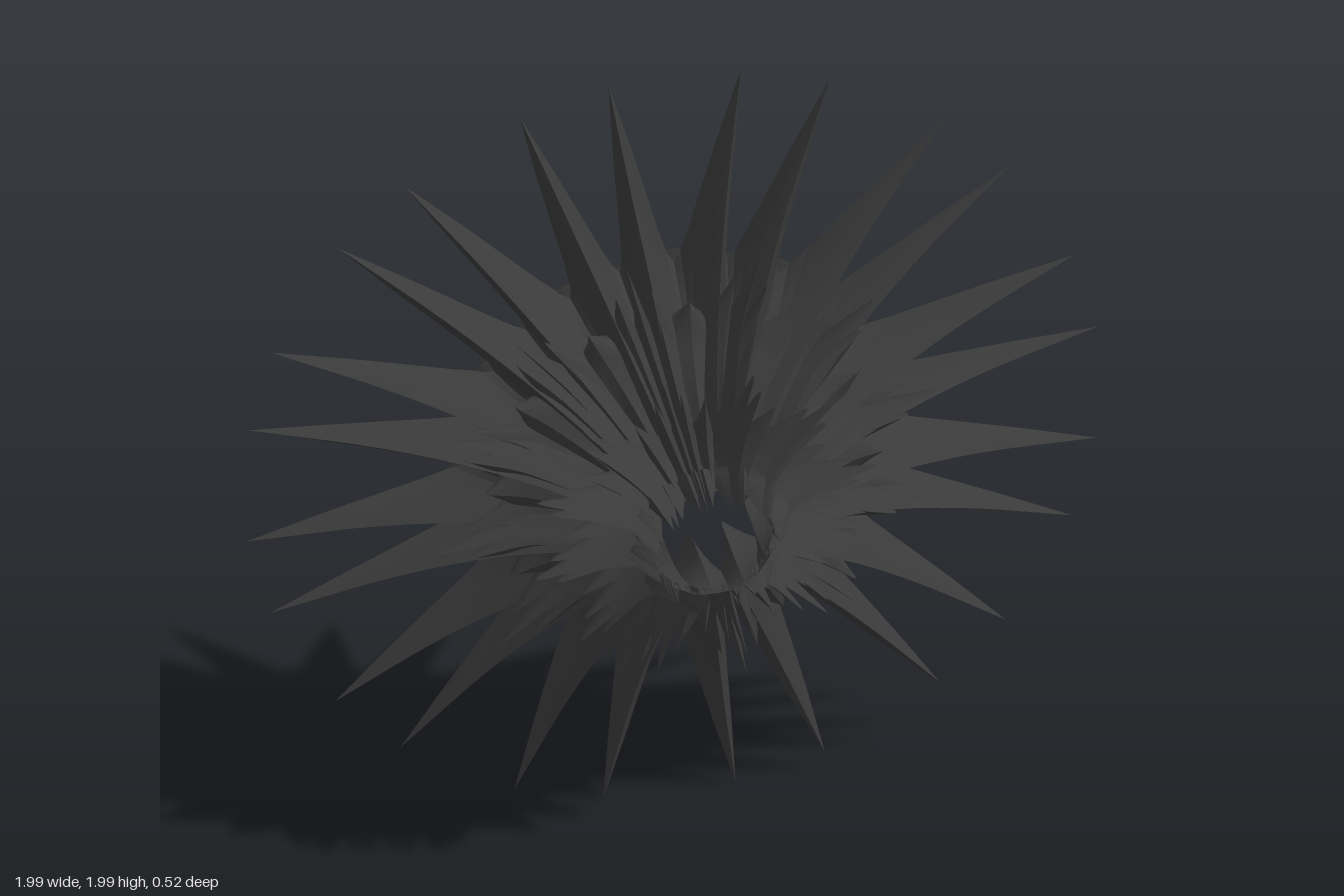
import * as THREE from 'three';

const RAD = Math.PI / 180;
const SECTOR = 30; // the shape repeats twelve times around its axis
const material = new THREE.MeshStandardMaterial({ color: 0x3a3a3a, flatShading: true, side: THREE.DoubleSide });

// Smooth [radius, z] curve through a few points, running from front to back
function profile(points, steps) {
  const curve = new THREE.CatmullRomCurve3(points.map(([r, z]) => new THREE.Vector3(r, z, 0)), false, 'centripetal');
  return curve.getPoints(steps);
}

// Angles around the axis with a ridge weight (1 on a ridge, 0 in a valley)
function pleatColumns(tips, steps, sharpness) {
  const columns = [];
  for (let s = 0; s < 360 / SECTOR; s++) {
    tips.forEach(([angle, height], i) => {
      const last = i === tips.length - 1;
      const [nextAngle, nextHeight] = last ? [tips[0][0] + SECTOR, tips[0][1]] : tips[i + 1];
      for (let k = 0; k < steps * 2; k++) {
        const t = k / (steps * 2);
        const peak = t < 0.5 ? height : nextHeight;
        columns.push({
          angle: (s * SECTOR + angle + (nextAngle - angle) * t) * RAD,
          weight: peak * Math.pow(Math.abs(1 - 2 * t), sharpness),
        });
      }
    });
  }
  return columns;
}

// Pleated trumpet: every column blends the valley curve into the ridge curve
function pleatedHorn(name, { valley, ridge, tips, steps = 4, sharpness = 1.5, rows = 16 }) {
  const low = profile(valley, rows);
  const high = profile(ridge, rows);
  const columns = pleatColumns(tips, steps, sharpness);
  const n = columns.length;
  const positions = [];
  const indices = [];
  for (let i = 0; i <= rows; i++) {
    for (const { angle, weight } of columns) {
      const p = low[i].clone().lerp(high[i], weight);
      positions.push(p.x * Math.cos(angle), p.x * Math.sin(angle), p.y);
    }
  }
  for (let i = 0; i < rows; i++) {
    for (let j = 0; j < n; j++) {
      const a = i * n + j;
      const b = i * n + (j + 1) % n;
      indices.push(a, a + n, b, b, a + n, b + n);
    }
  }
  const geometry = new THREE.BufferGeometry();
  geometry.setAttribute('position', new THREE.Float32BufferAttribute(positions, 3));
  geometry.setIndex(indices);
  geometry.computeVertexNormals();
  const mesh = new THREE.Mesh(geometry, material);
  mesh.name = name;
  return mesh;
}

export function createModel() {
  const model = new THREE.Group();
  model.name = 'spikedHorn';
  const horn = new THREE.Group();
  horn.name = 'horn';
  horn.position.y = 1;
  model.add(horn);

  // Back tier: twelve pairs of long spikes ending in one plane
  horn.add(pleatedHorn('longSpikes', {
    valley: [[0.15, 0.16], [0.19, 0.05], [0.3, -0.08], [0.43, -0.18], [0.49, -0.26]],
    ridge: [[0.15, 0.19], [0.27, 0.03], [0.47, -0.1], [0.7, -0.19], [1.005, -0.26]],
    tips: [[8.5, 1], [20.8, 1]],
    steps: 5,
    sharpness: 2,
  }));

  // Middle tier: a cluster of tips between each pair of spikes, curling back under
  horn.add(pleatedHorn('middleSpikes', {
    valley: [[0.145, 0.15], [0.18, 0.08], [0.25, -0.01], [0.36, -0.08], [0.41, -0.11], [0.42, -0.14]],
    ridge: [[0.15, 0.19], [0.24, 0.09], [0.29, 0.03], [0.42, -0.065], [0.605, -0.105], [0.5, -0.135]],
    tips: [[-1, 0.3], [9, 0.6], [13.5, 1], [18, 0.65]],
    steps: 3,
    sharpness: 1.2,
    rows: 20,
  }));

  // Front tier: short flared spikes, curling back to the neck
  horn.add(pleatedHorn('shortSpikes', {
    valley: [[0.14, 0.16], [0.16, 0.13], [0.2, 0.09], [0.23, 0.07], [0.23, 0.03]],
    ridge: [[0.15, 0.2], [0.19, 0.165], [0.27, 0.125], [0.41, 0.1], [0.285, 0.045]],
    tips: [[0, 0.55], [9, 0.75], [14, 1], [19, 0.75]],
    steps: 3,
    sharpness: 1.2,
  }));

  // Jagged teeth around the front opening
  horn.add(pleatedHorn('frontTeeth', {
    valley: [[0.142, 0.17], [0.17, 0.14]],
    ridge: [[0.145, 0.26], [0.195, 0.15]],
    tips: [[6, 0.8], [12, 1], [18, 0.9]],
    steps: 2,
    sharpness: 1.2,
    rows: 4,
  }));

  // Hollow back: twelve deep folds reaching in to the edge of the opening
  horn.add(pleatedHorn('innerFolds', {
    valley: [[0.145, 0.18], [0.18, 0.07], [0.26, -0.05], [0.4, -0.16]],
    ridge: [[0.142, 0.18], [0.142, 0.04], [0.16, -0.09], [0.4, -0.17]],
    tips: [[0, 1]],
    steps: 4,
    sharpness: 1,
  }));

  // Stepped twelve-sided rim around the hollow
  const rimPoints = [[0.38, -0.15], [0.4, -0.2], [0.43, -0.215], [0.44, -0.245], [0.52, -0.258]]
    .map(([r, z]) => new THREE.Vector2(r, z));
  const rim = new THREE.Mesh(new THREE.LatheGeometry(rimPoints, 12).rotateX(Math.PI / 2), material);
  rim.name = 'backRim';
  horn.add(rim);

  return model;
}
